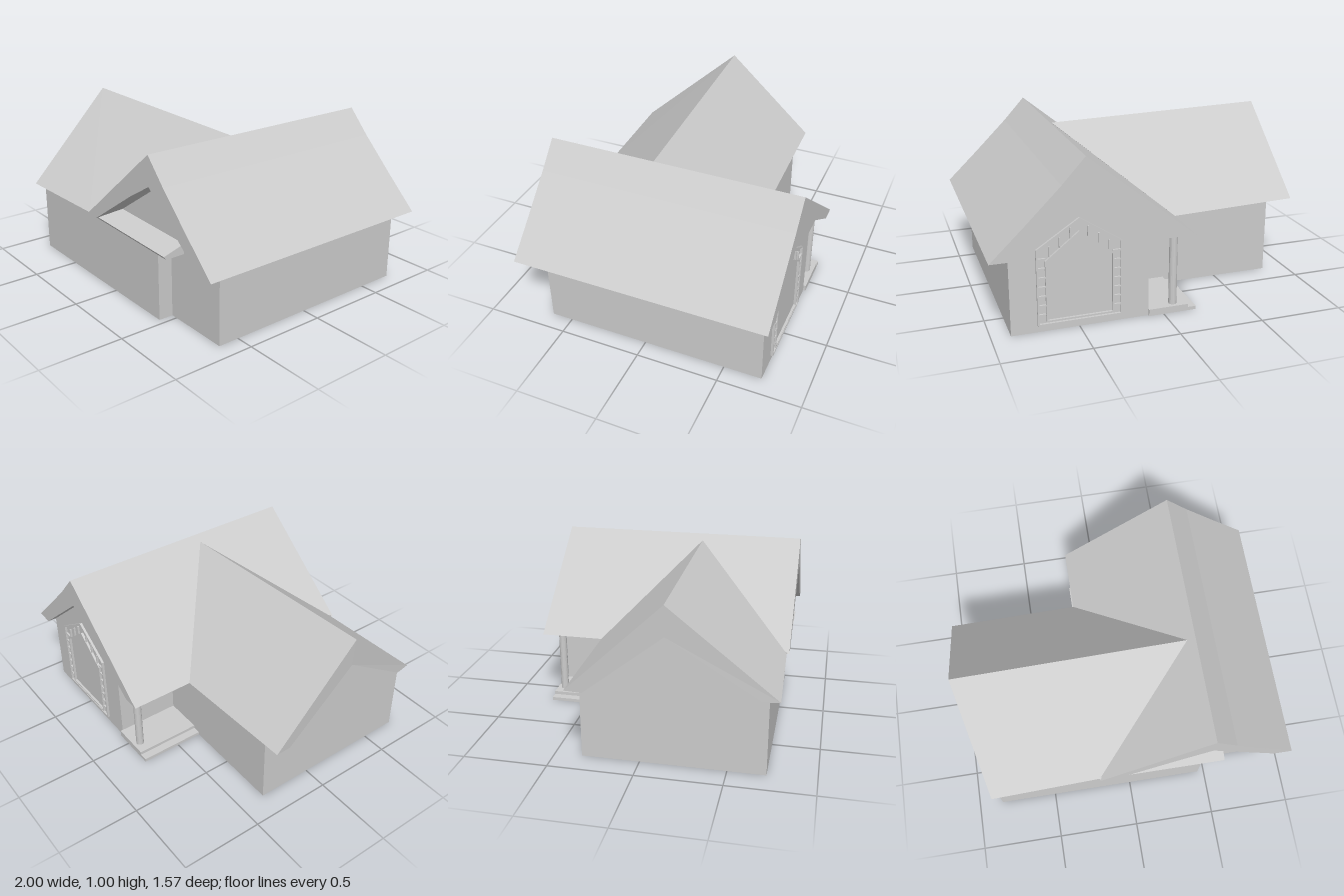
import * as THREE from 'three';

const mat = new THREE.MeshStandardMaterial({ color: 0xcccccc, flatShading: true, side: THREE.DoubleSide });

function add(parent, name, geometry) {
  const mesh = new THREE.Mesh(geometry, mat);
  mesh.name = name;
  parent.add(mesh);
  return mesh;
}

function outline(points) {
  return new THREE.Shape(points.map(([x, y]) => new THREE.Vector2(x, y)));
}

// Outline in x,y pushed along z from z0 to z1
function prismZ(shape, z0, z1) {
  return new THREE.ExtrudeGeometry(shape, { depth: z1 - z0, bevelEnabled: false }).translate(0, 0, z0);
}

// Floor plan in x,z raised from y0 to y1
function prismY(plan, y0, y1) {
  const shape = outline(plan.map(([x, z]) => [x, -z]));
  return new THREE.ExtrudeGeometry(shape, { depth: y1 - y0, bevelEnabled: false })
    .rotateX(-Math.PI / 2).translate(0, y0, 0);
}

function boxBetween(x0, x1, y0, y1, z0, z1) {
  return new THREE.BoxGeometry(x1 - x0, y1 - y0, z1 - z0)
    .translate((x0 + x1) / 2, (y0 + y1) / 2, (z0 + z1) / 2);
}

// Solid between two matching cross-sections (a at lower x, b at higher x)
function loft(a, b) {
  const pos = [];
  const tri = (...p) => p.forEach((v) => pos.push(...v));
  a.forEach((p, i) => {
    const j = (i + 1) % a.length;
    tri(p, a[j], b[j]);
    tri(p, b[j], b[i]);
  });
  const flat = a.map(([, y, z]) => new THREE.Vector2(z, y));
  for (const [i, j, k] of THREE.ShapeUtils.triangulateShape(flat, [])) {
    tri(a[i], a[j], a[k]);
    tri(b[i], b[k], b[j]);
  }
  const g = new THREE.BufferGeometry();
  g.setAttribute('position', new THREE.Float32BufferAttribute(pos, 3));
  g.computeVertexNormals();
  return g;
}

export function createModel() {
  const house = new THREE.Group();
  house.name = 'house';

  // Walls, with the porch corner cut out at the back
  add(house, 'walls', prismY([
    [0.89, -0.73], [0.89, 0.63], [0.46, 0.63], [0.46, 0.72],
    [-0.85, 0.72], [-0.85, -0.34], [0.09, -0.34], [0.09, -0.73],
  ], 0, 0.46));

  // Main roof: thick gable running front to back
  const under = [[0.89, 0.46], [0.465, 0.82], [0.28, 0.71], [-0.04, 0.5], [-0.1, 0.46]];
  add(house, 'mainRoof', prismZ(outline([
    [-0.2, 0.46], [0.465, 1], [0.6, 0.852], [0.8, 0.653], [1, 0.46], ...under,
  ]), -0.785, 0.775));
  add(house, 'mainGableWalls', prismZ(outline(under), -0.73, 0.63));

  // Wing roof: slightly skewed gable meeting the main roof along two valleys
  add(house, 'wingRoof', loft(
    [[-1, 0.48, -0.38], [-0.975, 1, 0.17], [-0.87, 0.46, 0.78],
      [-0.885, 0.46, 0.68], [-0.965, 0.82, 0.17], [-0.99, 0.47, -0.28]],
    [[-0.2, 0.46, -0.4], [0.42, 0.965, 0.135], [-0.2, 0.46, 0.76],
      [-0.2, 0.45, 0.67], [0.3, 0.8, 0.14], [-0.2, 0.45, -0.29]],
  ));
  const wingGable = (x) => [[x, 0.45, -0.3], [x, 0.82, 0.17], [x, 0.45, 0.69]];
  add(house, 'wingGableWall', loft(wingGable(-0.85), wingGable(-0.1)));

  // Eave of the wing carried on under the front gable
  const eave = (x, y) => [[x, y + 0.07, 0.6], [x, y + 0.02, 0.765], [x, y, 0.75], [x, y, 0.6]];
  add(house, 'frontEave', loft(eave(-0.2, 0.445), eave(0.58, 0.43)));

  // Corner porch
  const porch = new THREE.Group();
  porch.name = 'porch';
  house.add(porch);
  add(porch, 'porchFloor', boxBetween(-0.15, 0.09, 0, 0.04, -0.745, -0.34));
  add(porch, 'porchStep', boxBetween(-0.2, -0.15, 0, 0.02, -0.745, -0.34));
  add(porch, 'porchColumn', new THREE.CylinderGeometry(0.024, 0.024, 0.43, 16).translate(-0.07, 0.255, -0.7));

  // Tall back window with a peaked top: outer frame, rungs between and inner frame
  const win = new THREE.Group();
  win.name = 'backWindow';
  house.add(win);
  const cx = 0.495;
  const peaked = (w, y0, y1, top) => [[cx - w, y0], [cx + w, y0], [cx + w, y1], [cx, top], [cx - w, y1]];
  const ring = (name, w, y0, y1, top, t) => {
    const shape = outline(peaked(w, y0, y1, top));
    shape.holes.push(outline(peaked(w - t, y0 + t, y1 - t / 3, top - t * 1.2)));
    add(win, name, prismZ(shape, -0.745, -0.725));
  };
  ring('outerFrame', 0.245, 0.04, 0.49, 0.65, 0.01);
  ring('innerFrame', 0.195, 0.06, 0.42, 0.575, 0.008);
  for (const s of [-1, 1]) {
    for (let i = 0; i < 7; i++) {
      const y = 0.1 + i * 0.055;
      const xa = cx + s * 0.19, xb = cx + s * 0.24;
      add(win, 'sideRung', boxBetween(Math.min(xa, xb), Math.max(xa, xb), y, y + 0.008, -0.742, -0.725));
    }
    for (let i = 0; i < 3; i++) {
      const x = cx + s * (0.05 + i * 0.06);
      const y = 0.575 - 0.79 * Math.abs(x - cx);
      add(win, 'topRung', boxBetween(x - 0.004, x + 0.004, y, y + 0.06, -0.742, -0.725));
    }
  }

  return house;
}
